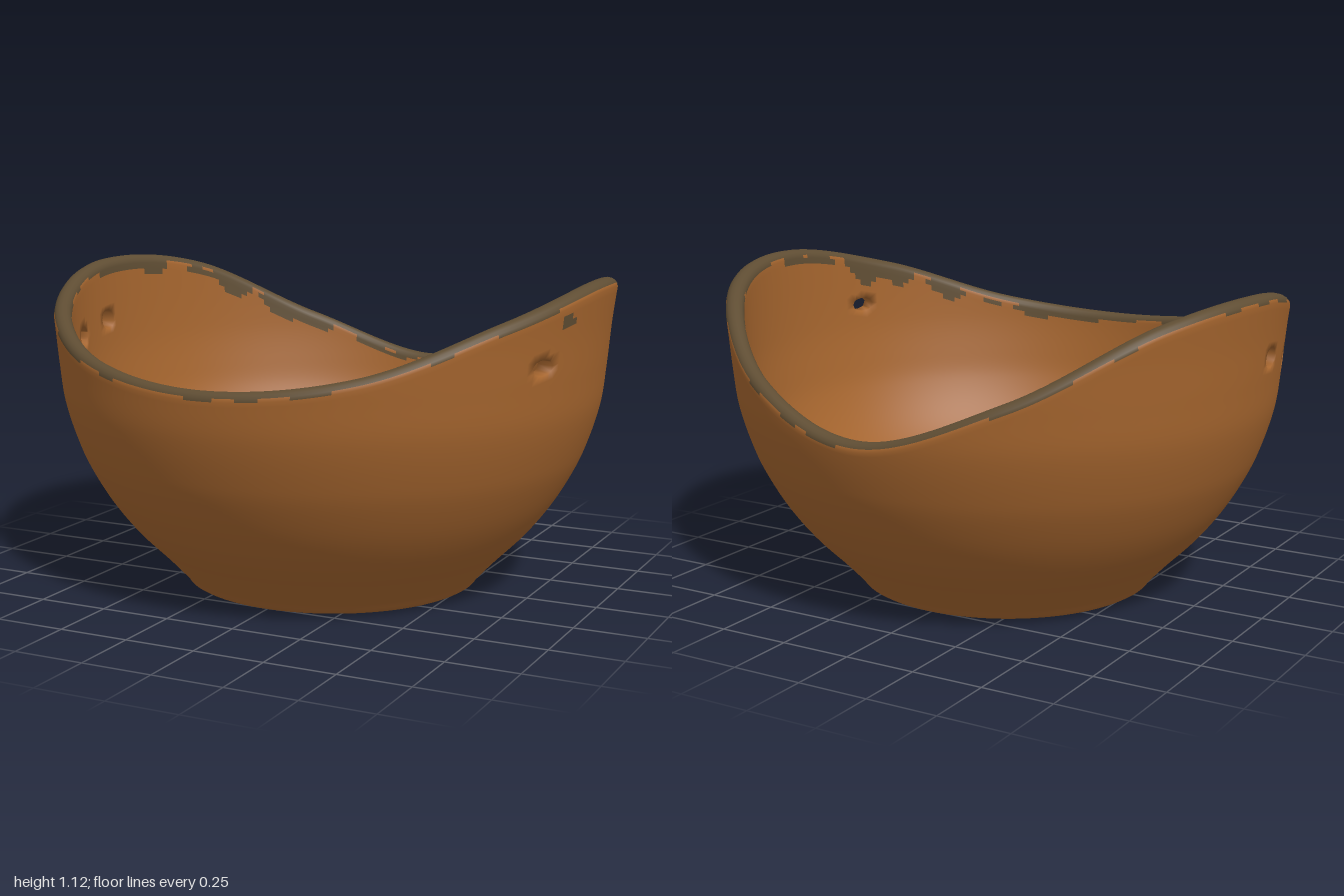
import * as THREE from 'three';

const COLS = 240, ROWS = 48, CAP = 8, RIM = 0.03;

// Smooth curve through [x, y] points
function curve(pts) {
  const slope = (i) => {
    const a = pts[Math.max(i - 1, 0)], b = pts[Math.min(i + 1, pts.length - 1)];
    return (b[1] - a[1]) / (b[0] - a[0]);
  };
  return (x) => {
    let i = 0;
    while (i < pts.length - 2 && x > pts[i + 1][0]) i++;
    const [x0, y0] = pts[i], [x1, y1] = pts[i + 1], w = x1 - x0;
    const t = THREE.MathUtils.clamp((x - x0) / w, 0, 1), t2 = t * t, t3 = t2 * t;
    return (2 * t3 - 3 * t2 + 1) * y0 + (t3 - 2 * t2 + t) * w * slope(i)
      + (3 * t2 - 2 * t3) * y1 + (t3 - t2) * w * slope(i + 1);
  };
}

// Radius by height, outside and inside
const outerR = curve([[0.02, 0.535], [0.1, 0.61], [0.2, 0.71], [0.3, 0.79], [0.4, 0.852],
  [0.5, 0.9], [0.66, 0.95], [0.8, 0.968], [0.95, 0.982], [1.09, 1.0]]);
const innerR = curve([[0.2, 0.42], [0.22, 0.53], [0.26, 0.63], [0.33, 0.72], [0.43, 0.8],
  [0.55, 0.86], [0.66, 0.888], [0.8, 0.91], [1.1, 0.928]]);

// Rim height every 30 degrees, starting at the front and turning to the left
const RIM_Y = [0.82, 0.872, 1.025, 1.115, 1.05, 0.82, 0.685, 0.84, 1.06, 1.105, 1.0, 0.87];
const rimCurve = curve(Array.from({ length: 17 }, (_, i) => [(i - 2) * 30, RIM_Y[(i + 10) % 12]]));
const rimY = (a) => rimCurve(THREE.MathUtils.radToDeg(a));

// Underside from the centre to the foot: [radius, height]
const UNDER = [[0, 0.105], [0.025, 0.108], [0.06, 0.13], [0.12, 0.125], [0.17, 0.112], [0.21, 0.122],
  [0.25, 0.128], [0.28, 0.105], [0.31, 0.1], [0.36, 0.112], [0.41, 0.118], [0.435, 0.11],
  [0.445, 0.085], [0.455, 0.04], [0.468, 0.012], [0.485, 0.001], [0.515, 0], [0.527, 0.007]];
const FLOOR = [[0.38, 0.197], [0.3, 0.193], [0.2, 0.19], [0.1, 0.188], [0, 0.187]];

// Holes through the wall: side angle, height, half width as an angle, half height
const hole = (x, z, y, w, h) => ({ a: (Math.atan2(x, z) + 2 * Math.PI) % (2 * Math.PI), y, w, h });
const HOLES = [
  hole(0.9, 0.35, 0.87, 0.05, 0.026),
  hole(-0.95, 0.06, 0.885, 0.048, 0.036),
  hole(-0.9, 0.3, 0.85, 0.052, 0.036),
];
const SPOT = hole(0.95, 0.24, 1.01, 0.04, 0.02);
const reach = (o, a, y) => Math.hypot((a - o.a) / o.w, (y - o.y) / o.h);

function buildBowl() {
  const O = UNDER.length, LEN = O + 2 * (ROWS + 1) + CAP - 1 + FLOOR.length;
  const innerRow = (i) => O + 2 * ROWS + CAP - i;
  const angle = (j) => (j / COLS) * Math.PI * 2;
  const rowY = (i, a) => 0.02 + (i / ROWS) * (rimY(a) - RIM - 0.02);
  const id = (i, j) => i * COLS + ((j + COLS) % COLS);

  const holeAt = (i, j) => {
    if (i < 0 || i >= ROWS) return null;
    const a = angle(((j + COLS) % COLS) + 0.5), y = rowY(i + 0.5, a);
    return HOLES.find((o) => reach(o, a, y) < 1) || null;
  };

  const pos = new Float32Array(LEN * COLS * 3);
  const put = (i, j, a, r, y) =>
    pos.set([r * Math.sin(a), y, r * Math.cos(a) * 0.987], id(i, j) * 3);

  for (let j = 0; j < COLS; j++) {
    const a = angle(j), top = rimY(a) - RIM;
    UNDER.forEach(([r, y], i) => put(i, j, a, r, y));
    FLOOR.forEach(([r, y], i) => put(innerRow(0) + 1 + i, j, a, r, y));

    // Wall, with the points round each hole drawn onto its outline
    for (let i = 0; i <= ROWS; i++) {
      let b = a, y = rowY(i, a);
      const near = [holeAt(i, j), holeAt(i - 1, j), holeAt(i, j - 1), holeAt(i - 1, j - 1)];
      const o = near.find(Boolean);
      if (o && !near.every(Boolean)) {
        const d = reach(o, a, y);
        b = o.a + (a - o.a) / d;
        y = o.y + (y - o.y) / d;
      }
      put(O + i, j, b, outerR(y), y);
      const lift = y < 0.5 ? 0.195 * (1 - y / 0.5) ** 2 : 0;
      put(innerRow(i), j, b, innerR(y + lift), y + lift);
    }

    // Rounded lip
    const ro = outerR(top), ri = innerR(top);
    for (let k = 1; k < CAP; k++) {
      const t = (k / CAP) * Math.PI;
      put(O + ROWS + k, j, a, (ro + ri) / 2 + ((ro - ri) / 2) * Math.cos(t), top + RIM * Math.sin(t));
    }
  }

  const body = [], rim = [];
  const quad = (list, a, b, c, d) => list.push(a, b, c, a, c, d);

  // Worn edge of the rim colour, reaching deeper inside the two high sides
  const isRim = (i, j) => {
    const a = angle(j + 0.5);
    const wave = Math.sin(a * 7) + Math.sin(a * 17 + 1) + Math.sin(a * 31 + 2);
    if (i >= O && i < O + ROWS) return reach(SPOT, a, rowY(i - O + 0.5, a)) < 1;
    const k = i - O - ROWS;
    if (k < 0) return false;
    if (k < CAP) return k >= (wave > 0.6 ? 0 : 1) && k < CAP - (wave < -0.8 ? 1 : 0);
    const high = Math.max(0, Math.cos(2 * (a - 0.9)));
    return k - CAP < high * (1.2 + wave);
  };

  for (let i = 0; i < LEN - 1; i++) {
    for (let j = 0; j < COLS; j++) {
      const wall = i < O + ROWS ? i - O : innerRow(0) - 1 - i;
      if (holeAt(wall, j)) continue;
      quad(isRim(i, j) ? rim : body, id(i, j), id(i, j + 1), id(i + 1, j + 1), id(i + 1, j));
    }
  }

  // Sides of the holes, joining the outside to the inside
  for (let i = 0; i < ROWS; i++) {
    for (let j = 0; j < COLS; j++) {
      if (!holeAt(i, j)) continue;
      const c = [[i, j], [i, j + 1], [i + 1, j + 1], [i + 1, j]];
      const beside = [[i - 1, j], [i, j + 1], [i + 1, j], [i, j - 1]];
      beside.forEach(([bi, bj], e) => {
        if (holeAt(bi, bj)) return;
        const [p, q] = [c[e], c[(e + 1) % 4]];
        quad(body, id(O + p[0], p[1]), id(O + q[0], q[1]),
          id(innerRow(q[0]), q[1]), id(innerRow(p[0]), p[1]));
      });
    }
  }

  // Both parts share one set of smooth normals
  const whole = new THREE.BufferGeometry();
  whole.setAttribute('position', new THREE.BufferAttribute(pos, 3));
  whole.setIndex([...body, ...rim]);
  whole.computeVertexNormals();
  return [body, rim].map((index) => {
    const g = new THREE.BufferGeometry();
    g.setAttribute('position', whole.getAttribute('position'));
    g.setAttribute('normal', whole.getAttribute('normal'));
    g.setIndex(index);
    return g;
  });
}

export function createModel() {
  const clay = new THREE.MeshStandardMaterial({ color: 0xa5652e });
  clay.name = 'orange brown clay';
  const glaze = new THREE.MeshStandardMaterial({ color: 0x5f4d33 });
  glaze.name = 'dark rim glaze';

  const group = new THREE.Group();
  group.name = 'bowl';
  const [bodyGeometry, rimGeometry] = buildBowl();
  const body = new THREE.Mesh(bodyGeometry, clay);
  body.name = 'bowlBody';
  const rim = new THREE.Mesh(rimGeometry, glaze);
  rim.name = 'rim';
  group.add(body, rim);
  return group;
}
